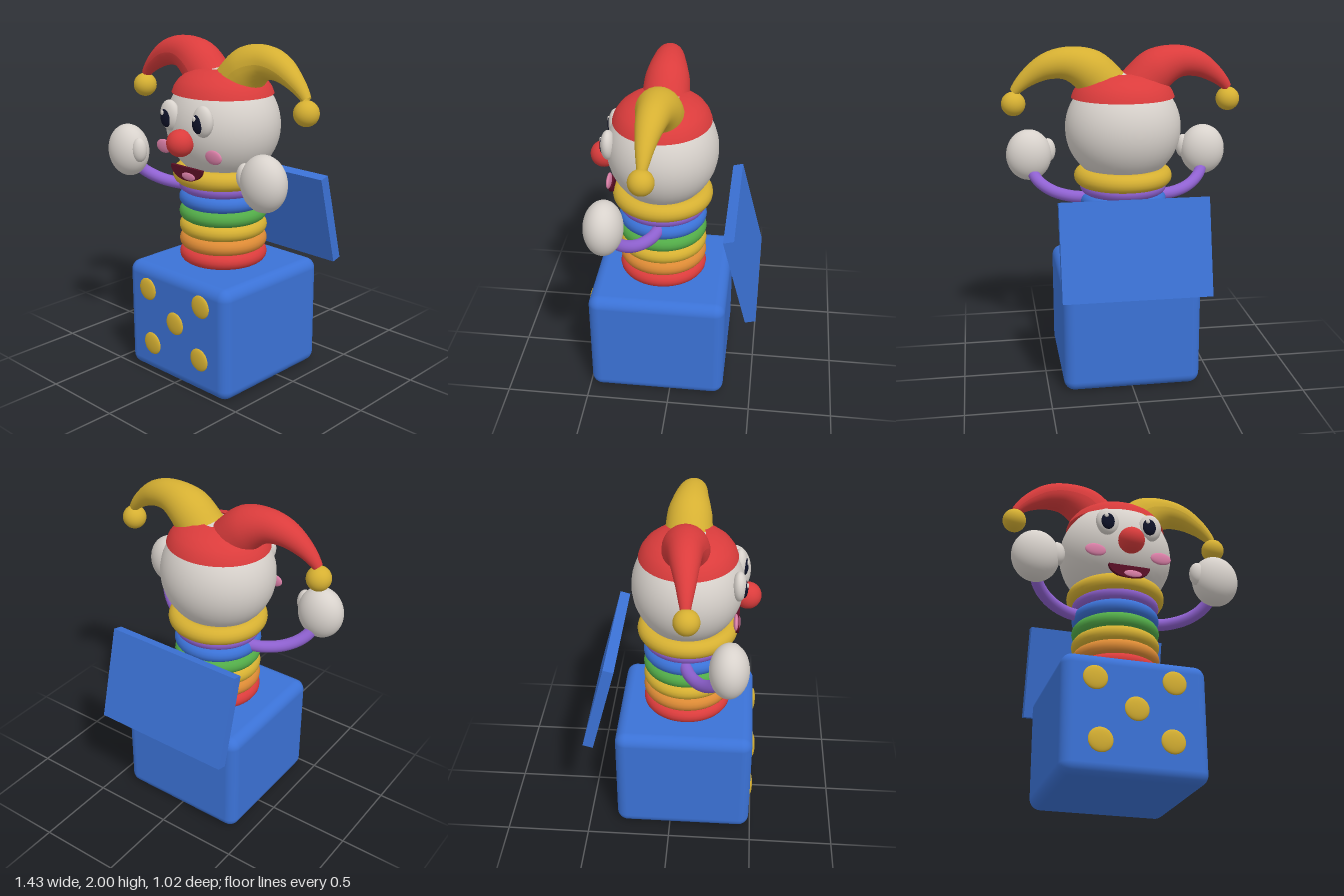
import * as THREE from 'three';
import { RoundedBoxGeometry } from 'three/addons/geometries/RoundedBoxGeometry.js';

const mat = (name, color, side = THREE.FrontSide) => {
  const m = new THREE.MeshStandardMaterial({ color, side });
  m.name = name;
  return m;
};

// Tapered tube with closed ends; stations are [x, y, z, radius]
function taperedTube(stations, rings = 32, sides = 28) {
  const curve = new THREE.CatmullRomCurve3(stations.map(s => new THREE.Vector3(s[0], s[1], s[2])));
  const radii = new THREE.CatmullRomCurve3(stations.map(s => new THREE.Vector3(s[3], 0, 0)));
  const geo = new THREE.TubeGeometry(curve, rings, 1, sides, false);
  const pos = geo.attributes.position;
  const v = new THREE.Vector3();
  for (let i = 0; i <= rings; i++) {
    const c = curve.getPointAt(i / rings);
    const r = radii.getPoint(curve.getUtoTmapping(i / rings)).x;
    for (let j = 0; j <= sides; j++) {
      const k = i * (sides + 1) + j;
      v.fromBufferAttribute(pos, k).sub(c).multiplyScalar(r).add(c);
      pos.setXYZ(k, v.x, v.y, v.z);
    }
  }
  geo.computeVertexNormals();
  return geo;
}

export function createModel() {
  const model = new THREE.Group();
  model.name = 'jackInTheBox';
  const blue = mat('blue', 0x3b72d6);
  const red = mat('red', 0xdb3c3c, THREE.DoubleSide);
  const yellow = mat('yellow', 0xd6b032, THREE.DoubleSide);
  const orange = mat('orange', 0xdc8a35);
  const green = mat('green', 0x52ab48);
  const purple = mat('purple', 0x9062d2);
  const white = mat('warmWhite', 0xd8d2cc);
  const pink = mat('pink', 0xdb80a8);
  const maroon = mat('maroon', 0x5a0f26);
  const navy = mat('navy', 0x0e1228);

  const add = (name, geo, material, x = 0, y = 0, z = 0) => {
    const mesh = new THREE.Mesh(geo, material);
    mesh.name = name;
    mesh.position.set(x, y, z);
    model.add(mesh);
    return mesh;
  };
  const ball = new THREE.SphereGeometry(1, 40, 28);
  const blob = (name, material, p, r) => {
    const mesh = add(name, ball, material, ...p);
    mesh.scale.set(...r);
    return mesh;
  };

  // Box, its tilted lid and the front dots
  add('box', new RoundedBoxGeometry(0.82, 0.68, 0.82, 5, 0.065), blue, 0, 0.345, 0.08);
  add('lid', new THREE.BoxGeometry(0.86, 0.568, 0.063), blue, 0, 0.912, -0.41).rotation.x = 0.254;
  [[-0.23, 0.54], [0.215, 0.555], [0, 0.385], [-0.2, 0.195], [0.2, 0.22]].forEach(([x, y]) =>
    blob('dot', yellow, [x, y, 0.49], [0.069, 0.069, 0.017]));

  // Spring body of stacked rings, and the collar
  [red, orange, yellow, green, blue, purple].forEach((m, i) => {
    add('springRing', new THREE.TorusGeometry(0.215, 0.046, 16, 48), m, 0, 0.74 + i * 0.086, 0.08)
      .rotation.x = Math.PI / 2;
  });
  add('collar', new THREE.TorusGeometry(0.24, 0.055, 18, 56), yellow, 0, 1.23, 0.08).rotation.x = Math.PI / 2;

  // Head and nose
  blob('head', white, [0, 1.52, 0.078], [0.345, 0.33, 0.322]);
  blob('nose', red, [0, 1.46, 0.423], [0.078, 0.078, 0.078]);

  // Hat band, open at the crown
  const band = [[0.295, 1.705], [0.282, 1.74], [0.255, 1.777], [0.215, 1.808], [0.16, 1.834], [0.1, 1.845]]
    .map(p => new THREE.Vector2(...p));
  add('hatBand', new THREE.LatheGeometry(band, 56), red, 0, 0, 0.08).scale.set(1.04, 1, 0.96);

  // Mouth and tongue
  const lips = new THREE.Shape();
  lips.moveTo(-0.125, 0);
  lips.absellipse(0, 0, 0.125, 0.078, Math.PI, Math.PI * 2, false);
  lips.closePath();
  add('mouth', new THREE.ExtrudeGeometry(lips, { depth: 0.02, bevelEnabled: false, curveSegments: 24 }),
    maroon, 0, 1.312, 0.362);
  blob('tongue', pink, [0.02, 1.262, 0.382], [0.054, 0.022, 0.007]);

  // Mirrored parts
  for (const s of [-1, 1]) {
    // Hat horn and its bell
    const horn = [
      [0.085, 1.74, 0.075, 0.001], [0.09, 1.745, 0.075, 0.14], [0.2, 1.86, 0.075, 0.128],
      [0.33, 1.905, 0.08, 0.096], [0.445, 1.888, 0.088, 0.077], [0.55, 1.828, 0.097, 0.053],
      [0.61, 1.775, 0.1, 0.037], [0.637, 1.742, 0.102, 0.028],
    ].map(([x, y, z, r]) => [s * x, y, z, r]);
    add('hatHorn', taperedTube(horn.slice(1)), s < 0 ? red : yellow);
    blob('hatBell', yellow, [s * 0.643, 1.672, 0.108], [0.071, 0.071, 0.071]);

    // Eye with pupil and highlight, and cheek
    blob('eyeWhite', white, [s * 0.131, 1.592, 0.372], [0.07, 0.089, 0.042]).rotation.z = -s * 0.08;
    blob('pupil', navy, [s * 0.128 - 0.008, 1.582, 0.4], [0.042, 0.055, 0.021]);
    blob('eyeHighlight', white, [s * 0.128 - 0.022, 1.61, 0.417], [0.013, 0.015, 0.007]);
    blob('cheek', pink, [s * 0.2, 1.4, 0.361], [0.063, 0.04, 0.014]);

    // Arm, hand and thumb
    const arm = new THREE.CatmullRomCurve3([
      [0.18, 1.1, 0.07], [0.31, 1.1, 0.11], [0.43, 1.125, 0.18], [0.51, 1.18, 0.25], [0.55, 1.27, 0.32],
    ].map(([x, y, z]) => new THREE.Vector3(s * x, y, z)));
    add('arm', new THREE.TubeGeometry(arm, 32, 0.036, 16), purple);
    blob('hand', white, [s * 0.549, 1.314, 0.335], [0.14, 0.158, 0.11]);
    blob('thumb', white, [s * 0.428, 1.335, 0.355], [0.046, 0.074, 0.045]);
  }
  return model;
}
